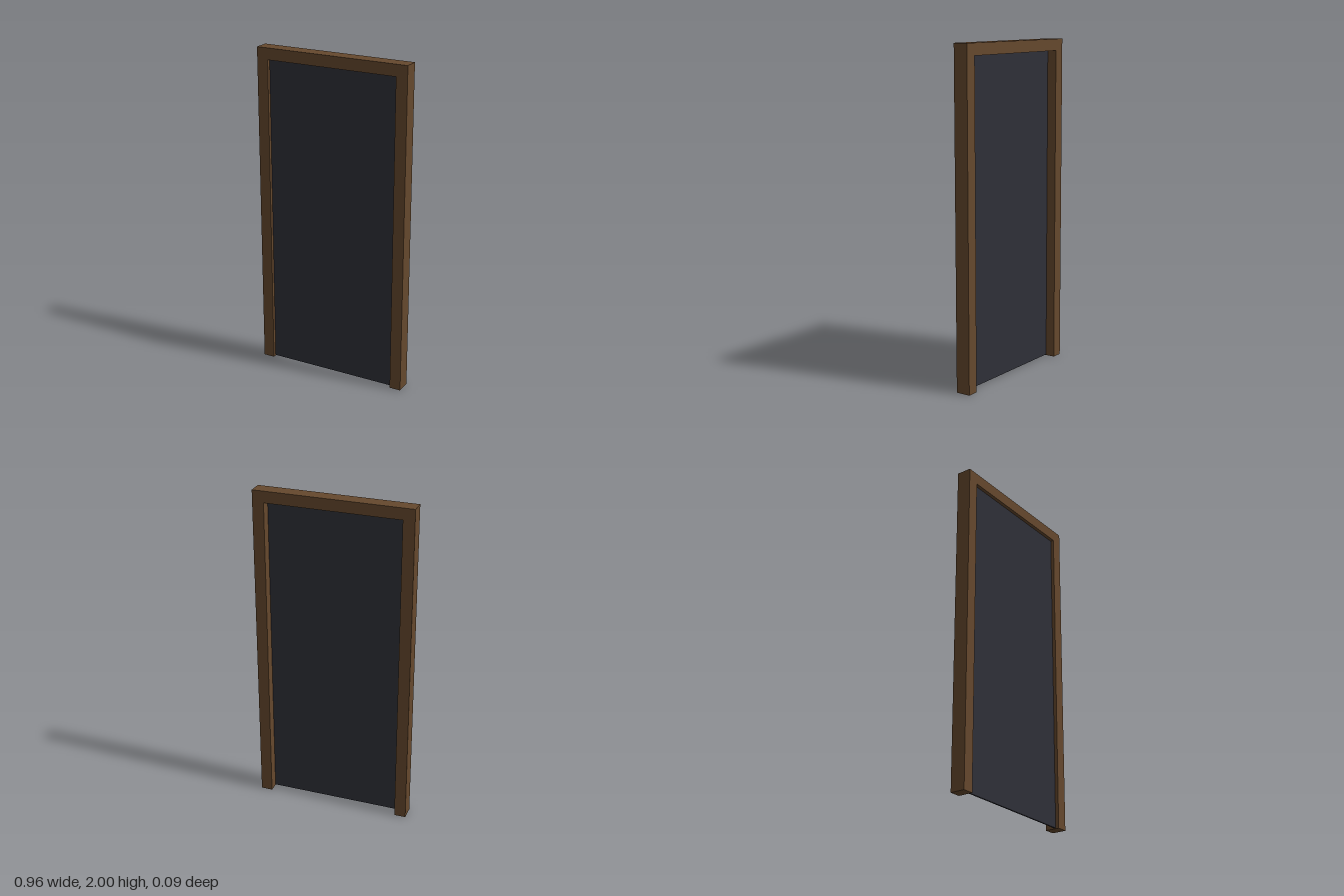
import * as THREE from 'three';

export function createModel() {
  const model = new THREE.Group();
  model.name = 'framedDoor';

  const wood = new THREE.MeshStandardMaterial({ color: 0x65482d });
  wood.name = 'brown wood';
  const slate = new THREE.MeshStandardMaterial({ color: 0x2f3038 });
  slate.name = 'dark slate';

  const halfWidth = 0.48, height = 2, depth = 0.09, border = 0.07;
  const inner = halfWidth - border, top = height - border;

  // Door frame: one U-shaped outline, open at the floor
  const outline = new THREE.Shape([
    [-halfWidth, 0], [-inner, 0], [-inner, top], [inner, top],
    [inner, 0], [halfWidth, 0], [halfWidth, height], [-halfWidth, height],
  ].map(([x, y]) => new THREE.Vector2(x, y)));
  const frameGeometry = new THREE.ExtrudeGeometry(outline, { depth, bevelEnabled: false });
  frameGeometry.translate(0, 0, -depth / 2);
  const frame = new THREE.Mesh(frameGeometry, wood);
  frame.name = 'doorFrame';
  model.add(frame);

  // Thin door panel, set nearer the front of the frame
  const panel = new THREE.Mesh(new THREE.BoxGeometry(inner * 2, top - 0.004, 0.01), slate);
  panel.name = 'doorPanel';
  panel.position.set(0, (top + 0.004) / 2, 0.019);
  model.add(panel);

  return model;
}
